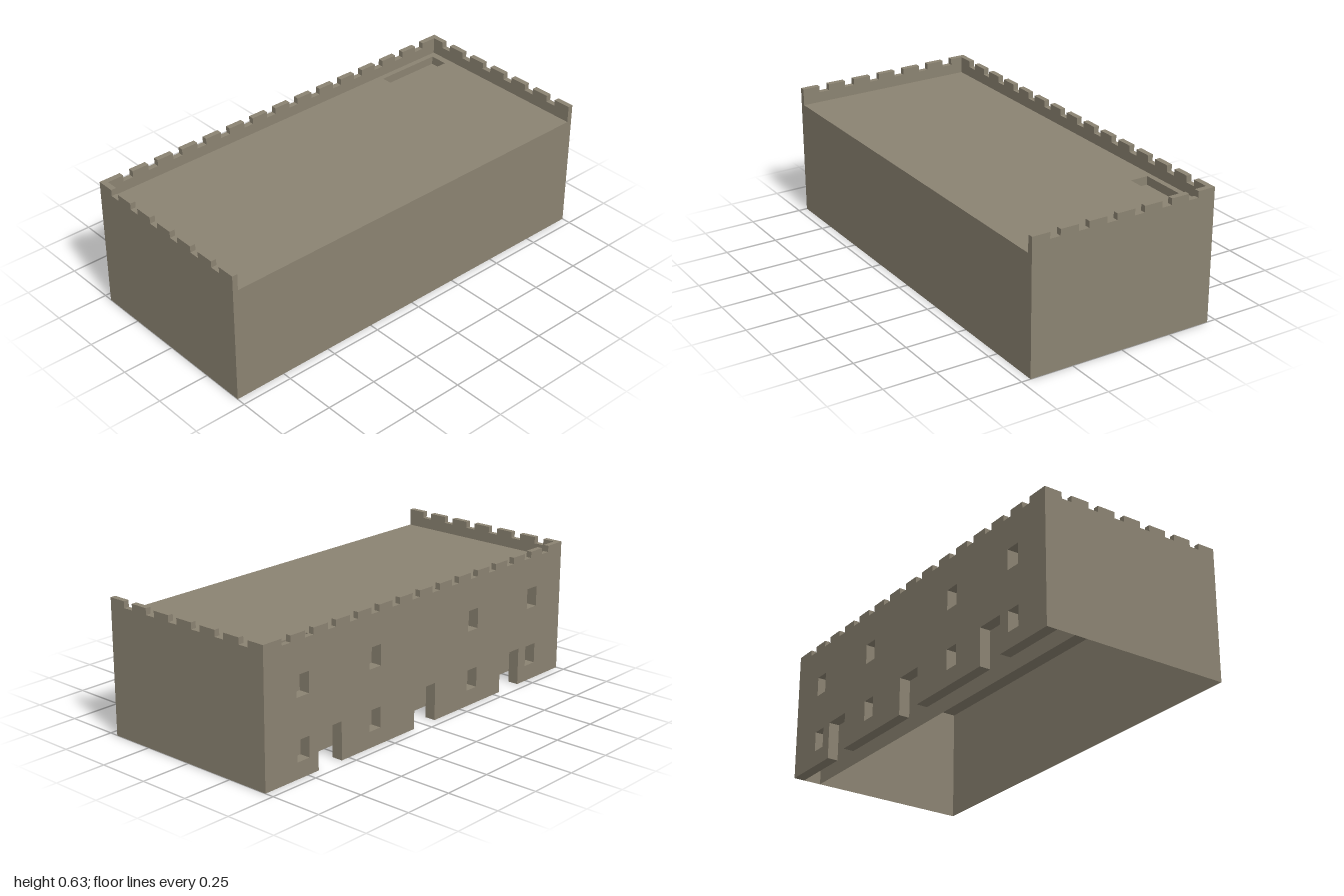
import * as THREE from 'three';

const X = 0.457, Z = 1, ROOF = 0.555, NOTCH = 0.605, TOP = 0.635;
const PARAPET = 0.026, WALL = 0.052, INNER_X = -0.317;

const stone = new THREE.MeshStandardMaterial({ color: 0x8b8372, side: THREE.DoubleSide });
stone.name = 'stone';

export function createModel() {
  const group = new THREE.Group();
  group.name = 'fortifiedBlock';

  const add = (name, geometry, x = 0, y = 0, z = 0, rx = 0, ry = 0) => {
    const mesh = new THREE.Mesh(geometry, stone);
    mesh.name = name;
    mesh.position.set(x, y, z);
    mesh.rotation.set(rx, ry, 0);
    group.add(mesh);
    return mesh;
  };
  const polygon = (pts) => new THREE.Shape(pts.map(([a, b]) => new THREE.Vector2(a, b)));
  const rect = (x0, y0, x1, y1) => polygon([[x0, y0], [x1, y0], [x1, y1], [x0, y1]]);
  const extrude = (shape, depth) => new THREE.ExtrudeGeometry(shape, { depth, bevelEnabled: false });

  // Parapet outline: evenly spaced notches cut into its top edge
  const battlement = (half, count, end, gap) => {
    const pts = [[-half, ROOF], [half, ROOF]];
    const merlon = (2 * half - 2 * end - count * gap) / (count - 1);
    for (let i = 0; i < count; i++) {
      const a = half - end - i * (merlon + gap);
      if (i === 0) pts.push([half, TOP]);
      pts.push([a, TOP], [a, NOTCH], [a - gap, NOTCH], [a - gap, TOP]);
    }
    pts.push([-half, TOP]);
    return polygon(pts);
  };

  // Parapets on three sides; the +x side stays open
  const endShape = battlement(X, 6, 0.086, 0.05);
  add('frontParapet', extrude(endShape, PARAPET), 0, 0, Z - PARAPET);
  add('backParapet', extrude(endShape, PARAPET), 0, 0, -Z);
  add('sideParapet', extrude(battlement(Z, 14, 0.105, 0.05), PARAPET),
    -X + PARAPET, 0, 0, 0, -Math.PI / 2);

  // Thin shell walls, open underneath
  const endWall = new THREE.PlaneGeometry(2 * X, ROOF);
  const longWall = new THREE.PlaneGeometry(2 * Z, ROOF);
  add('frontWall', endWall, 0, ROOF / 2, Z);
  add('backWall', endWall, 0, ROOF / 2, -Z, 0, Math.PI);
  add('plainSideWall', longWall, X, ROOF / 2, 0, 0, Math.PI / 2);
  add('passageWall', longWall, INNER_X, ROOF / 2, 0, 0, Math.PI / 2);

  // Thick facade with three doorways and two rows of windows
  const outline = [[-Z, 0]];
  for (const c of [-0.615, 0, 0.615]) {
    outline.push([c - 0.071, 0], [c - 0.071, 0.178], [c + 0.071, 0.178], [c + 0.071, 0]);
  }
  outline.push([Z, 0], [Z, ROOF], [-Z, ROOF]);
  const facade = polygon(outline);
  for (const c of [-0.777, -0.333, 0.333, 0.777]) {
    for (const y of [0.076, 0.36]) facade.holes.push(rect(c - 0.036, y, c + 0.036, y + 0.097));
  }
  add('facade', extrude(facade, WALL), -X + WALL, 0, 0, 0, -Math.PI / 2);

  // Roof with a stair opening above the passage
  const roof = rect(-X, -Z, X, Z);
  const hole = { x0: -X + WALL, x1: INNER_X, z0: -0.94, z1: -0.61, depth: 0.04 };
  roof.holes.push(rect(hole.x0, -hole.z1, hole.x1, -hole.z0));
  add('roof', new THREE.ShapeGeometry(roof), 0, ROOF, 0, -Math.PI / 2);

  // Landing and end walls inside the opening
  const w = hole.x1 - hole.x0, cx = (hole.x0 + hole.x1) / 2;
  add('landing', new THREE.PlaneGeometry(w, hole.z1 - hole.z0),
    cx, ROOF - hole.depth, (hole.z0 + hole.z1) / 2, -Math.PI / 2);
  for (const z of [hole.z0, hole.z1]) {
    add('openingEnd', new THREE.PlaneGeometry(w, hole.depth), cx, ROOF - hole.depth / 2, z,
      0, z === hole.z0 ? 0 : Math.PI);
  }

  return group;
}
